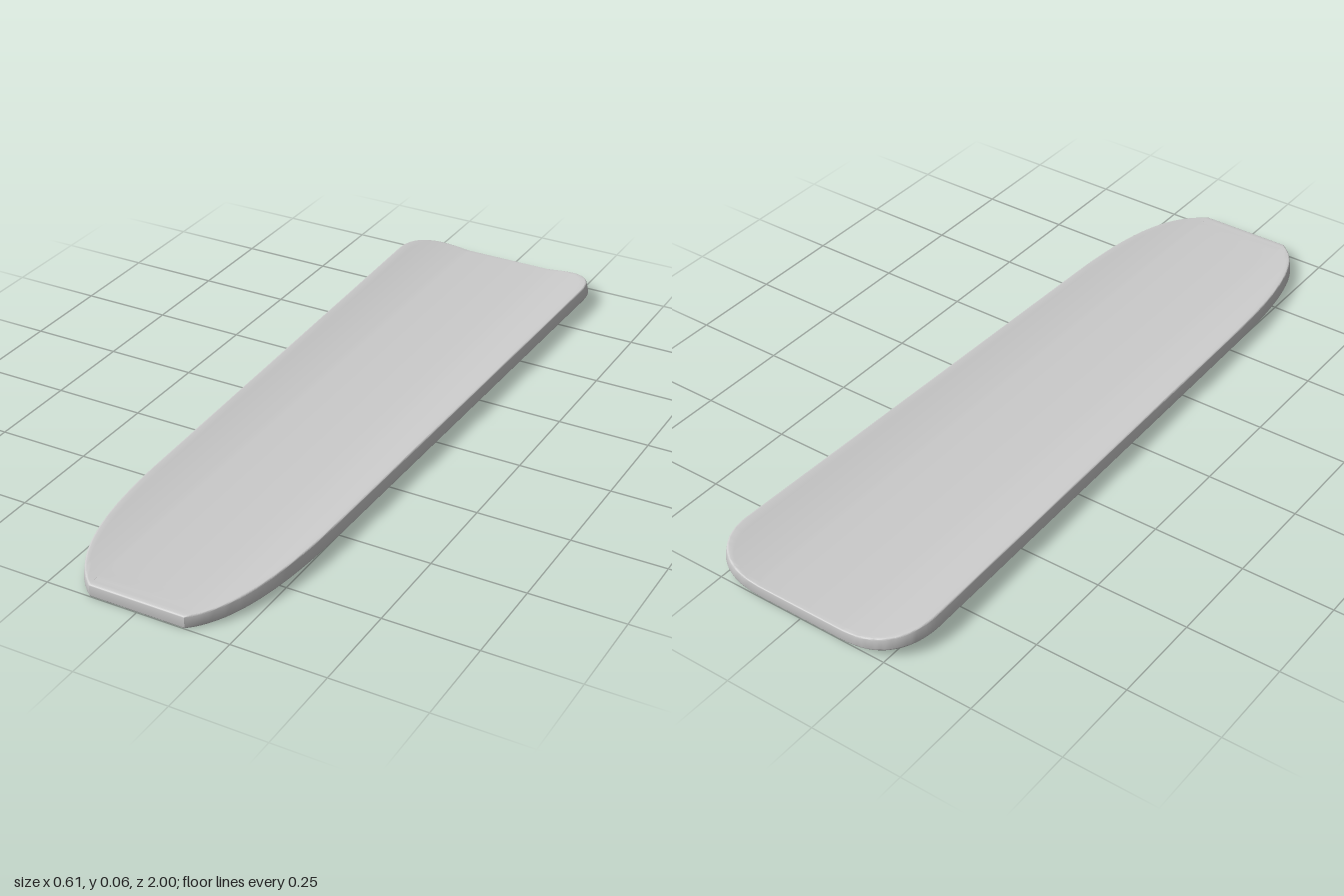
import * as THREE from 'three';
import { toCreasedNormals } from 'three/addons/utils/BufferGeometryUtils.js';

const FLAT = 0.13;       // half width of the level centre strip
const THICK = 0.034;
const BEVEL = 0.004;
const WING = 8;          // columns across each raised wing

// Right half of the plan outline, from back (-z) to front (+z)
function halfOutline() {
  const path = new THREE.Path();
  path.moveTo(0.16, -1);
  path.bezierCurveTo(0.25, -1, 0.305, -0.95, 0.305, -0.86);
  for (let i = 1; i <= 8; i++) path.lineTo(0.305 - 0.033 * i / 8, -0.86 + 1.36 * i / 8);
  path.bezierCurveTo(0.266, 0.75, 0.235, 0.93, 0.13, 1);
  return path.getPoints(20);
}

// Point on the board: flat in the middle, wings curving up, h along the surface normal
function bend(x, z, h) {
  const d = Math.max(0, Math.abs(x) - FLAT);
  const slope = d > 0 ? 0.09 + 1.1 * d : 0;
  const len = Math.hypot(1, slope);
  return [x - Math.sign(x) * slope / len * h, 0.09 * d + 0.55 * d * d + h / len, z];
}

// Grid of points covering the outline, inset by a margin, at height h
function layer(outline, inset, h) {
  return outline.map((p, i) => {
    const a = outline[Math.max(0, i - 1)], b = outline[Math.min(outline.length - 1, i + 1)];
    const len = a.distanceTo(b);
    const w = p.x - inset * (b.y - a.y) / len;
    const z = THREE.MathUtils.clamp(p.y + inset * (b.x - a.x) / len, -1 + inset, 1 - inset);
    const flat = Math.min(FLAT, w * 0.97);
    const row = [];
    for (let j = WING; j >= 0; j--) row.push(bend(-flat - (w - flat) * j / WING, z, h));
    for (let j = 0; j <= WING; j++) row.push(bend(flat + (w - flat) * j / WING, z, h));
    return row;
  });
}

// Edge of a grid as one closed loop
function rim(grid) {
  const n = grid.length - 1, m = grid[0].length - 1;
  return [
    ...grid[0].slice(0, m),
    ...grid.slice(0, n).map(r => r[m]),
    ...grid[n].slice(1).reverse(),
    ...grid.slice(1).reverse().map(r => r[0]),
  ];
}

function boardGeometry() {
  const outline = halfOutline();
  // Rounded lower edge, straight side, rounded upper edge
  const levels = [];
  for (let k = 0; k <= 3; k++) {
    const a = k / 3 * Math.PI / 2;
    levels.push([BEVEL * (1 - Math.sin(a)), BEVEL * (1 - Math.cos(a))]);
  }
  for (let k = 3; k >= 0; k--) levels.push([levels[k][0], THICK - levels[k][1]]);
  const layers = levels.map(([inset, h]) => layer(outline, inset, h));

  const pos = [];
  const quad = (a, b, c, d) => pos.push(...a, ...b, ...c, ...c, ...b, ...d);

  // Underside and top
  const low = layers[0], high = layers[layers.length - 1];
  for (let i = 0; i < low.length - 1; i++) {
    for (let j = 0; j < low[0].length - 1; j++) {
      quad(high[i][j], high[i + 1][j], high[i][j + 1], high[i + 1][j + 1]);
      quad(low[i][j], low[i][j + 1], low[i + 1][j], low[i + 1][j + 1]);
    }
  }
  // Edge band
  const rims = layers.map(rim);
  for (let k = 0; k < rims.length - 1; k++) {
    rims[k].forEach((p, i) => {
      const n = (i + 1) % rims[k].length;
      quad(p, rims[k + 1][i], rims[k][n], rims[k + 1][n]);
    });
  }
  const geo = new THREE.BufferGeometry();
  geo.setAttribute('position', new THREE.Float32BufferAttribute(pos, 3));
  return toCreasedNormals(geo, 0.62);
}

export function createModel() {
  const group = new THREE.Group();
  group.name = 'board';
  const deck = new THREE.Mesh(boardGeometry(), new THREE.MeshStandardMaterial({ color: 0xcccccc }));
  deck.name = 'deck';
  group.add(deck);
  return group;
}
